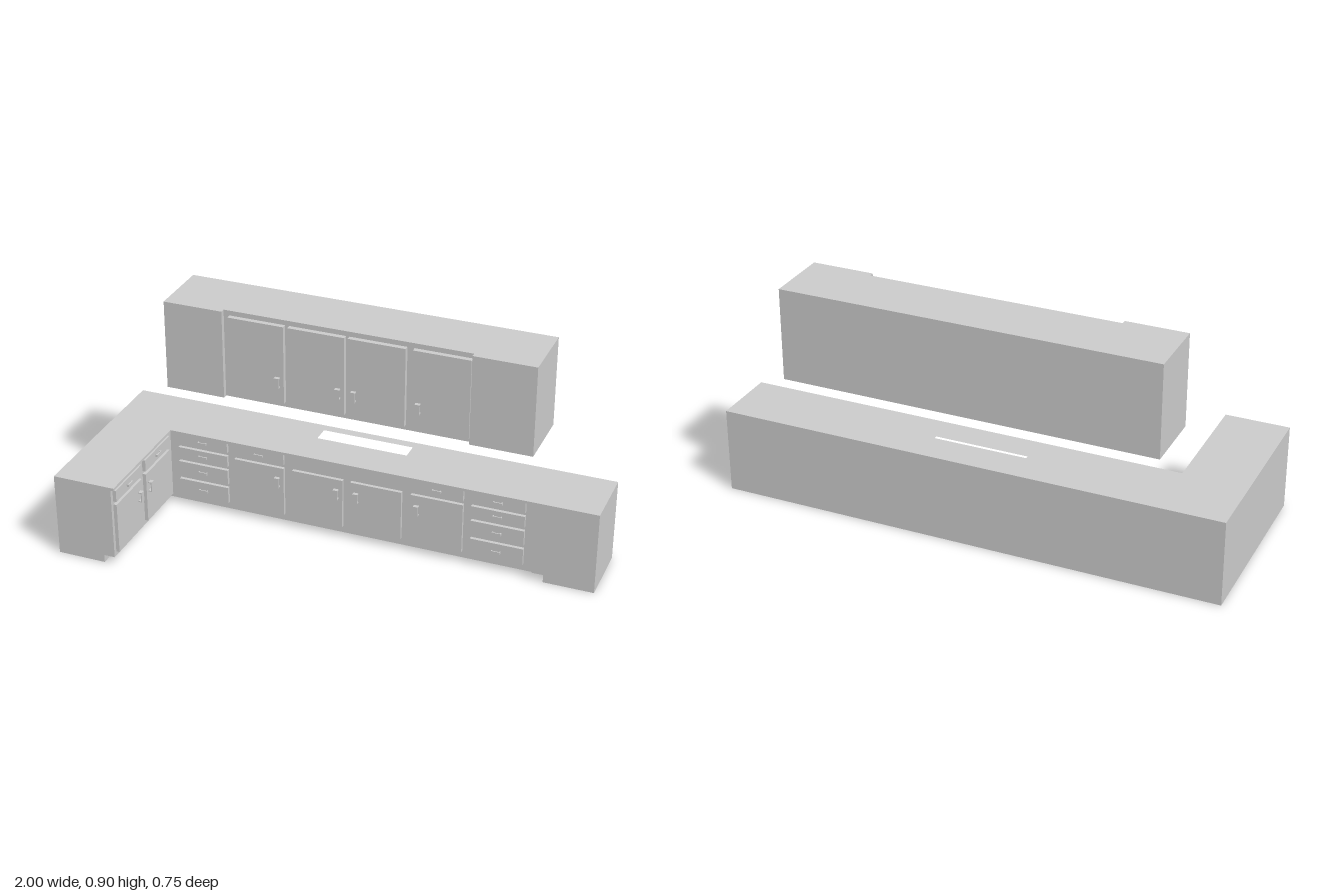
import * as THREE from 'three';

const mat = new THREE.MeshStandardMaterial({ color: 0xcccccc, flatShading: true });

function box(parent, name, x0, x1, y0, y1, z0, z1) {
  const m = new THREE.Mesh(new THREE.BoxGeometry(x1 - x0, y1 - y0, z1 - z0), mat);
  m.position.set((x0 + x1) / 2, (y0 + y1) / 2, (z0 + z1) / 2);
  m.name = name;
  parent.add(m);
  return m;
}

// Horizontal slab from a plan outline of [x, z] points, with an optional hole
function slab(parent, name, plan, y0, y1, hole) {
  const pts = (list) => list.map(([x, z]) => new THREE.Vector2(x, -z));
  const shape = new THREE.Shape(pts(plan));
  if (hole) shape.holes.push(new THREE.Path(pts(hole)));
  const g = new THREE.ExtrudeGeometry(shape, { depth: y1 - y0, bevelEnabled: false });
  g.rotateX(-Math.PI / 2);
  const m = new THREE.Mesh(g, mat);
  m.position.y = y0;
  m.name = name;
  parent.add(m);
}

// U-shaped pull standing out from z = 0; the long side carries the grip
function pull(parent, x, y, z, w, h, depth) {
  const g = new THREE.Group();
  g.name = 'handle';
  const t = 0.004;
  box(g, 'grip', -w / 2, w / 2, -h / 2, h / 2, depth - t, depth);
  for (const s of [-1, 1]) {
    if (h > w) box(g, 'post', -w / 2, w / 2, s * (h / 2 - t / 2) - t / 2, s * (h / 2 - t / 2) + t / 2, 0, depth);
    else box(g, 'post', s * (w / 2 - t / 2) - t / 2, s * (w / 2 - t / 2) + t / 2, -h / 2, h / 2, 0, depth);
  }
  g.position.set(x, y, z);
  parent.add(g);
}

// Fronts are built facing +z with their back at z = 0
const FRONT = 0.014;
function drawer(parent, x0, x1, y0, y1) {
  box(parent, 'drawerFront', x0, x1, y0, y1, -0.002, FRONT);
  pull(parent, (x0 + x1) / 2, (y0 + y1) / 2, FRONT, 0.036, 0.01, 0.009);
}
function door(parent, x0, x1, y0, y1, hinge, handleY) {
  box(parent, 'door', x0, x1, y0, y1, -0.002, FRONT);
  pull(parent, hinge < 0 ? x1 - 0.025 : x0 + 0.025, handleY, FRONT, 0.02, 0.042, 0.015);
}

// L-shaped plan with the fronts set back between the end blocks
const plan = (legX, faceZ, endX) => [
  [-1, -0.375], [1, -0.375], [1, -0.112], [endX, -0.112],
  [endX, faceZ], [legX, faceZ], [legX, 0.377], [-1, 0.377],
];

export function createModel() {
  const root = new THREE.Group();
  root.name = 'kitchen';

  // Base cabinets, worktop and sink basin
  const base = new THREE.Group();
  base.name = 'baseCabinets';
  root.add(base);
  const faceZ = -0.136, legX = -0.76;
  const basin = [[-0.19, -0.355], [0.19, -0.355], [0.19, -0.21], [-0.19, -0.21]];
  slab(base, 'toeKick', plan(-0.805, -0.165, 0.8), 0, 0.032);
  slab(base, 'lowerCarcass', plan(legX, faceZ, 0.755), 0.032, 0.275);
  slab(base, 'upperCarcass', plan(legX, faceZ, 0.755), 0.275, 0.329, basin);
  slab(base, 'worktop', plan(-0.747, -0.112, 0.9), 0.329, 0.34, basin);

  // Fronts along the main run
  const run = new THREE.Group();
  run.name = 'mainRunFronts';
  run.position.z = faceZ;
  base.add(run);
  const stack = [[0.28, 0.324], [0.215, 0.264], [0.135, 0.2], [0.05, 0.12]];
  for (const x of [-0.72, 0.502])
    for (const [y0, y1] of stack) drawer(run, x, x + 0.212, y0, y1);
  for (const x of [-0.477, 0.26]) drawer(run, x, x + 0.21, 0.276, 0.324);
  [[-0.477, -1], [-0.23, -1], [0.012, 1], [0.26, 1]].forEach(([x, hinge]) =>
    door(run, x, x + 0.21, 0.05, 0.26, hinge, 0.198));

  // Fronts along the short leg, turned to face +x (local x = -z)
  const leg = new THREE.Group();
  leg.name = 'legFronts';
  leg.rotation.y = Math.PI / 2;
  leg.position.x = legX;
  base.add(leg);
  [[-0.361, -1], [-0.115, 1]].forEach(([x, hinge]) => {
    drawer(leg, x, x + 0.212, 0.273, 0.322);
    door(leg, x, x + 0.21, 0.05, 0.26, hinge, 0.197);
  });

  // Wall cabinets: two end blocks and a set-back middle with four doors
  const wall = new THREE.Group();
  wall.name = 'wallCabinets';
  root.add(wall);
  const y0 = 0.533, y1 = 0.9, z0 = -0.375, wallZ = -0.132;
  box(wall, 'rightEndBlock', -0.75, -0.508, y0, y1, z0, -0.112);
  box(wall, 'middleCarcass', -0.508, 0.488, y0, y1, z0, wallZ);
  box(wall, 'leftEndBlock', 0.488, 0.735, y0, y1, z0, -0.112);
  const doors = new THREE.Group();
  doors.name = 'wallDoors';
  doors.position.z = wallZ + 0.006;
  wall.add(doors);
  [[-0.484, -0.256, -1], [-0.238, -0.01, -1], [0.004, 0.232, 1], [0.26, 0.486, 1]].forEach(([a, b, hinge]) => {
    door(doors, a, b, 0.555, 0.88, hinge, 0.645);
    box(doors, 'doorBack', a, b, 0.555, 0.88, -0.008, 0);
  });
  return root;
}
